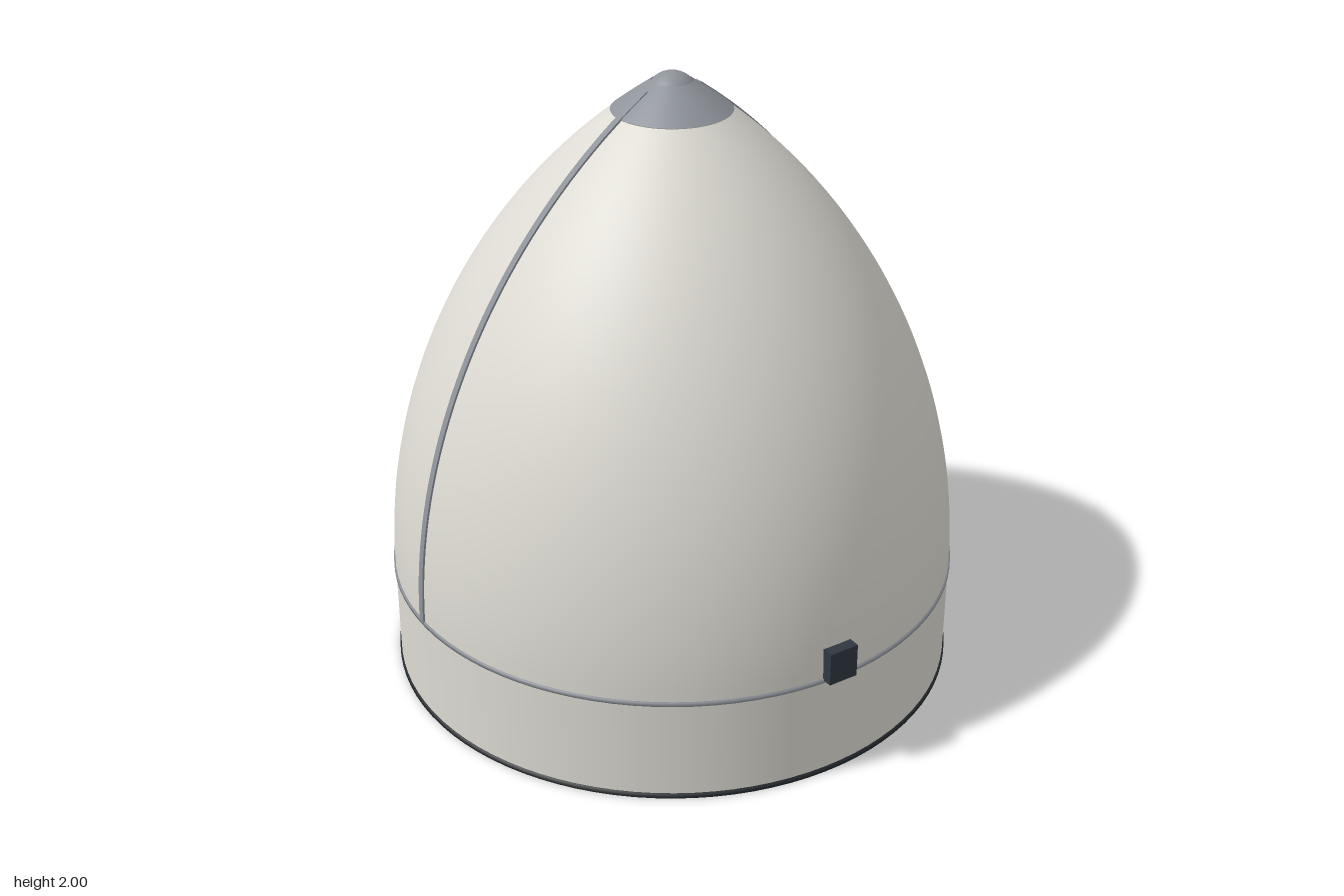
import * as THREE from 'three';

const RADIUS = 0.933, BASE = 0.35, RISE = 1.66, SEGMENTS = 96;
const ARC = (RISE * RISE + RADIUS * RADIUS) / (2 * RADIUS);

// Radius of the ogive at height y
const ogive = (y) => Math.sqrt(ARC * ARC - (y - BASE) ** 2) - (ARC - RADIUS);

// Profile points along the ogive, pushed outward by an offset
function ogivePoints(y0, y1, steps, offset = 0) {
  const points = [];
  for (let i = 0; i <= steps; i++) {
    const y = y0 + (y1 - y0) * i / steps;
    const r = ogive(y) + ARC - RADIUS;
    points.push(new THREE.Vector2(ogive(y) + offset * r / ARC, y + offset * (y - BASE) / ARC));
  }
  return points;
}

export function createModel() {
  const model = new THREE.Group();
  const material = (name, color, side = THREE.FrontSide) => {
    const m = new THREE.MeshStandardMaterial({ color, side });
    m.name = name;
    return m;
  };
  const white = material('shellWhite', 0xdcdad2, THREE.DoubleSide);
  const grey = material('metalGrey', 0x8e939a, THREE.DoubleSide);
  const dark = material('darkSlate', 0x2f3740);
  const black = material('sealBlack', 0x23282c, THREE.DoubleSide);

  const add = (name, geometry, mat) => {
    const mesh = new THREE.Mesh(geometry, mat);
    mesh.name = name;
    model.add(mesh);
    return mesh;
  };
  const lathe = (points, ...phi) => new THREE.LatheGeometry(
    points.map((p) => (p.isVector2 ? p : new THREE.Vector2(...p))), SEGMENTS, ...phi);
  // Rectangular band around the axis
  const band = (r0, r1, y0, y1) => lathe([[r0, y0], [r1, y0], [r1, y1], [r0, y1], [r0, y0]]);

  // Shell
  add('skirt', lathe([[RADIUS, 0], [RADIUS, BASE]]), white);
  add('ogiveShell', lathe(ogivePoints(BASE, 1.88, 40)), white);

  // Rings around the skirt
  add('baseSeal', band(0.915, 0.938, 0, 0.016), black);
  add('joinRing', band(0.925, 0.938, 0.341, 0.355), grey);

  // Inner cone leading down to the round opening
  add('adapterCone', lathe([[0.25, 0.004], [0.93, 0.34]]), white);
  add('adapterRim', band(0.243, 0.253, 0.001, 0.016), grey);

  // Nose cap and rounded tip
  add('noseCap', lathe(ogivePoints(1.88, 1.97, 8, 0.003)), grey);
  add('noseTip', new THREE.SphereGeometry(0.085, 40, 24), grey).position.y = 1.915;

  // Split-line strips and separation blocks, repeated on opposite sides
  const outline = [...ogivePoints(BASE, 1.95, 40, 0.006),
    ...ogivePoints(BASE, 1.95, 40, -0.006).reverse()];
  const strip = new THREE.ExtrudeGeometry(new THREE.Shape(outline),
    { depth: 0.026, bevelEnabled: false });
  strip.translate(0, 0, -0.013);
  const block = new THREE.BoxGeometry(0.066, 0.11, 0.1);
  block.translate(0.933, 0.405, 0);
  for (const half of [0, 1]) {
    const turn = -THREE.MathUtils.degToRad(20.5) + half * Math.PI;
    add('splitStrip', strip, grey).rotation.y = turn;
    add('separationBlock', block, dark).rotation.y = turn - Math.PI / 2;
  }

  // Access door beside one strip
  add('accessDoor', lathe(ogivePoints(0.56, 0.78, 8, 0.003),
    THREE.MathUtils.degToRad(69.5), THREE.MathUtils.degToRad(11.5)), white);

  return model;
}
